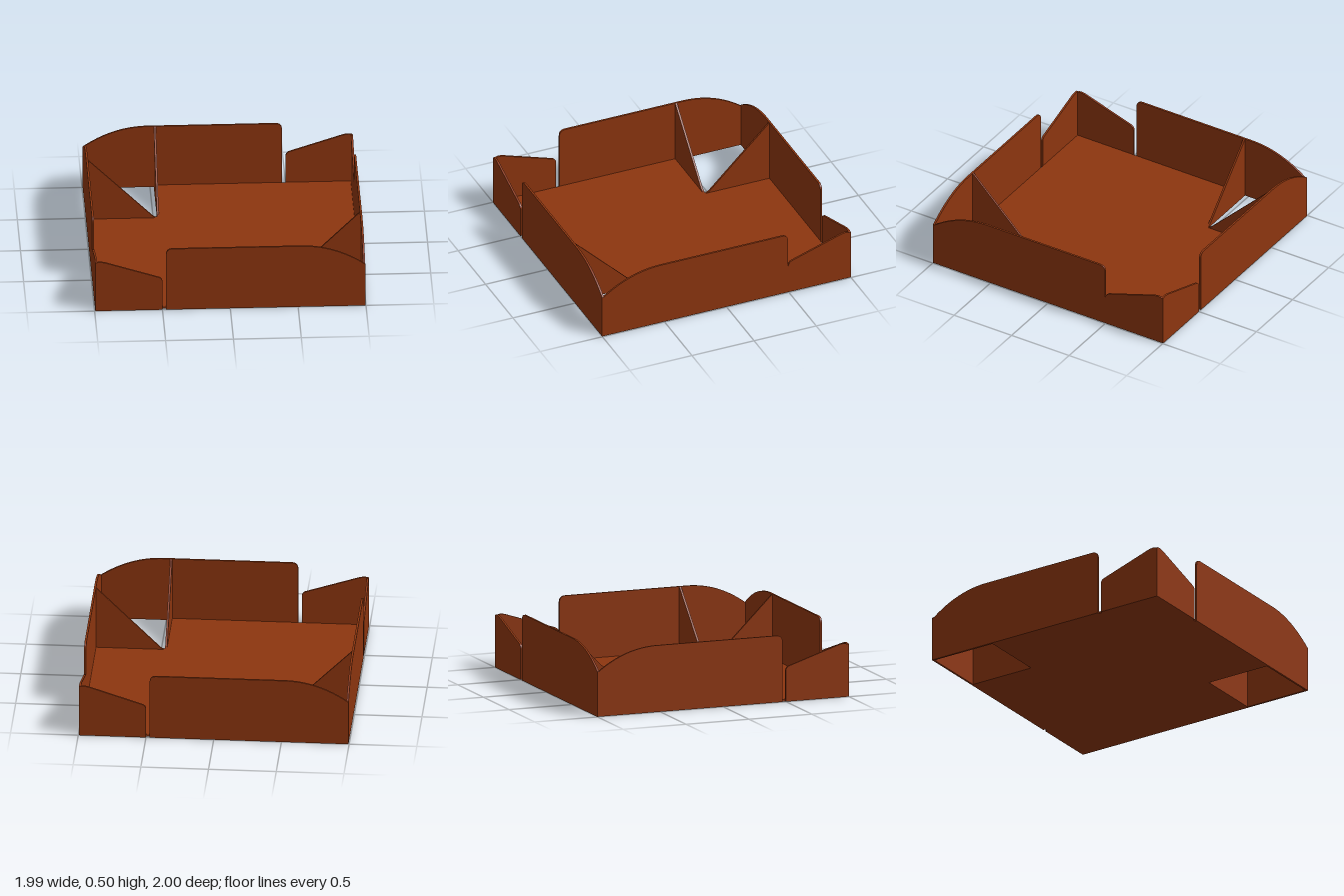
import * as THREE from 'three';

const T = 0.015;          // sheet thickness
const X = 0.995, Z = 1;   // half width and half depth
const TOP = 0.5;          // height of the tall walls

const leather = new THREE.MeshStandardMaterial({ color: 0x8c350f });
leather.name = 'rust brown';

function sheet(name, shape) {
  const geometry = new THREE.ExtrudeGeometry(shape, { depth: T, bevelEnabled: false, curveSegments: 16 });
  const mesh = new THREE.Mesh(geometry, leather);
  mesh.name = name;
  return mesh;
}

// Outlines run along u; s = -1 mirrors them.
// Tall part: rounded end at u0, flat top, arc falling to the corner at u1.
function tallTop(shape, s, u0, u1) {
  shape.quadraticCurveTo(s * u0, TOP, s * (u0 + 0.05), TOP);
  shape.lineTo(s * 0.52, TOP);
  shape.quadraticCurveTo(s * 0.77, TOP, s * u1, 0.34);
  shape.lineTo(s * u1, 0);
}

// Low part: slopes from the corner at -u1 down to the slit.
function wedgeTop(shape, s, u1, slitY) {
  shape.moveTo(-s * u1, 0);
  shape.lineTo(-s * u1, 0.395);
  shape.quadraticCurveTo(-s * 0.96, 0.41, -s * 0.9, 0.388);
  shape.lineTo(-s * 0.53, 0.268);
  shape.quadraticCurveTo(-s * 0.5, 0.258, -s * 0.5, slitY);
}

function makeWall(name, s, half, offset, angle, joined) {
  const wall = new THREE.Group();
  wall.name = name;
  const low = new THREE.Shape();
  wedgeTop(low, s, half, 0.23);
  if (joined) {
    // One sheet with a notch instead of an open slit
    low.lineTo(-s * 0.495, 0.23);
    low.lineTo(-s * 0.495, TOP - 0.05);
    tallTop(low, s, -0.495, half);
    wall.add(sheet(name + 'Panel', low));
  } else {
    low.lineTo(-s * 0.5, 0);
    const tall = new THREE.Shape();
    tall.moveTo(-s * 0.473, 0);
    tall.lineTo(-s * 0.473, TOP - 0.05);
    tallTop(tall, s, -0.473, half);
    wall.add(sheet(name + 'LowPanel', low), sheet(name + 'TallPanel', tall));
  }
  for (const m of wall.children) m.position.z = offset - T;
  wall.rotation.y = angle;
  return wall;
}

// Triangular flaps folded up along the two inner edges of a corner opening
function makeFlaps(name, angle) {
  const group = new THREE.Group();
  group.name = name;
  const outline = (end) => {
    const p = new THREE.Shape();
    p.moveTo(0.472, T);
    p.lineTo(end, T);
    p.lineTo(end, TOP);
    p.lineTo(0.51, 0.035);
    p.quadraticCurveTo(0.495, T + 0.003, 0.472, T);
    return p;
  };
  const across = sheet('crossFlap', outline(X - T));
  across.position.z = 0.472 - T;
  const along = sheet('sideFlap', outline(Z - T));
  along.rotation.y = -Math.PI / 2;
  along.position.x = 0.472;
  group.add(across, along);
  group.rotation.y = angle;
  return group;
}

export function createModel() {
  const tray = new THREE.Group();
  tray.name = 'tray';

  // Floor with two opposite corners cut away
  const a = X - T, b = Z - T, h = 0.472;
  const outline = new THREE.Shape(
    [[-a, -h], [-h, -h], [-h, -b], [a, -b], [a, h], [h, h], [h, b], [-a, b]]
      .map(([x, z]) => new THREE.Vector2(x, z)));
  const floor = sheet('floor', outline);
  floor.rotation.x = Math.PI / 2;
  floor.position.y = T;
  tray.add(floor);

  // Walls
  tray.add(
    makeWall('frontWall', 1, X, Z, 0, false),
    makeWall('backWall', 1, X, Z, Math.PI, false),
    makeWall('leftWall', -1, Z - T, X, Math.PI / 2, true),
    makeWall('rightWall', -1, Z - T, X, -Math.PI / 2, false));

  // Folded flaps
  tray.add(makeFlaps('frontCornerFlaps', 0), makeFlaps('backCornerFlaps', Math.PI));
  return tray;
}
